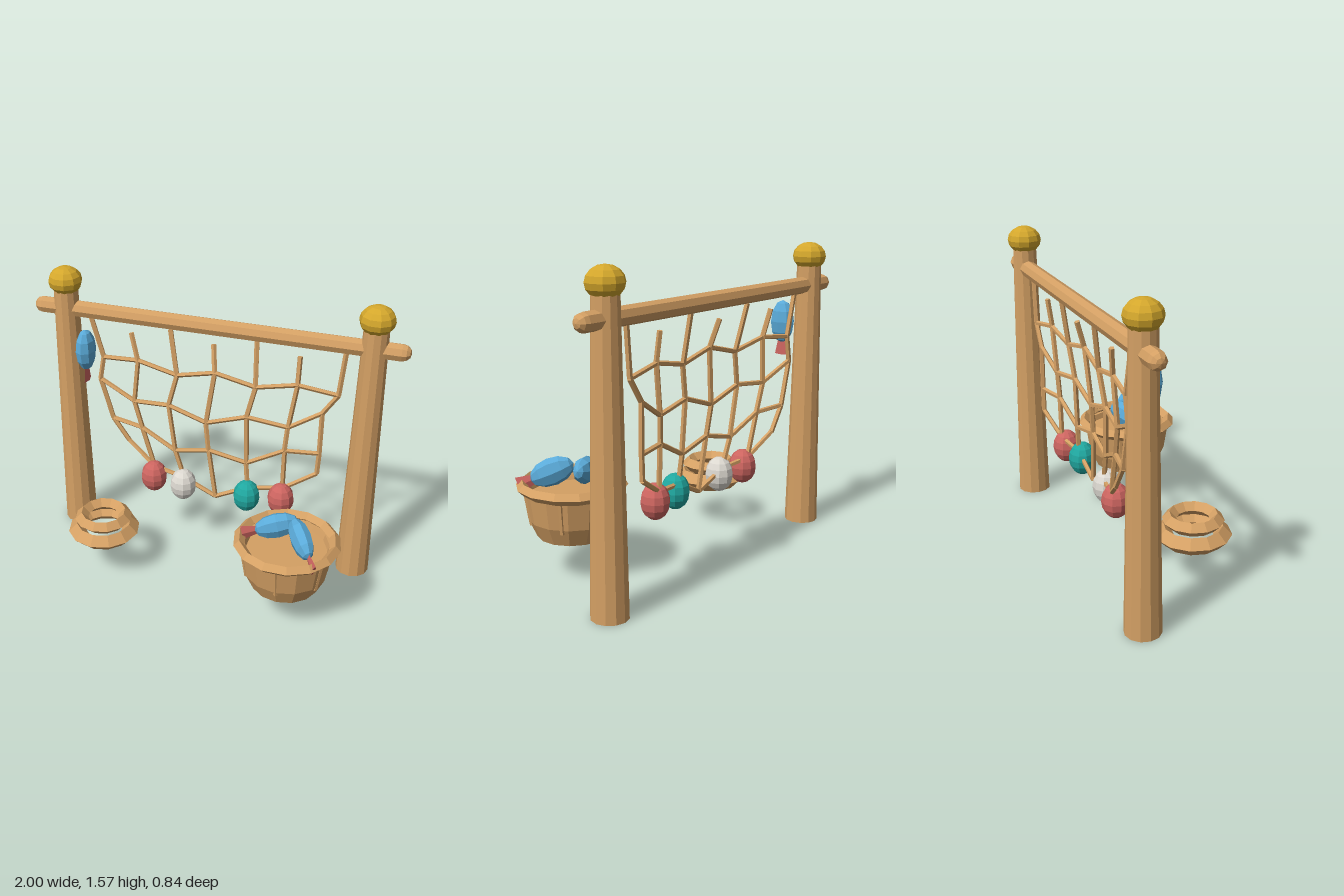
import * as THREE from 'three';

const mat = (name, color) => {
  const m = new THREE.MeshStandardMaterial({ color, flatShading: true });
  m.name = name;
  return m;
};

export function createModel() {
  const wood = mat('wood', 0xd4a064);
  const gold = mat('gold', 0xd4a72c);
  const blue = mat('fish blue', 0x5aaad8);
  const red = mat('coral red', 0xcd6560);
  const white = mat('bead white', 0xdcd8d0);
  const teal = mat('teal', 0x20a8a0);
  const root = new THREE.Group();
  root.name = 'fishingNetRack';

  const add = (parent, name, geometry, material, x = 0, y = 0, z = 0) => {
    const m = new THREE.Mesh(geometry, material);
    m.name = name;
    m.position.set(x, y, z);
    parent.add(m);
    return m;
  };
  const group = (name, x, y, z) => {
    const g = new THREE.Group();
    g.name = name;
    g.position.set(x, y, z);
    root.add(g);
    return g;
  };
  const up = new THREE.Vector3(0, 1, 0);
  // Round rod between two points
  const rod = (parent, name, a, b, r0, r1 = r0, sides = 5) => {
    const d = b.clone().sub(a);
    const m = add(parent, name, new THREE.CylinderGeometry(r1, r0, d.length(), sides), wood);
    m.position.copy(a).addScaledVector(d, 0.5);
    m.quaternion.setFromUnitVectors(up, d.normalize());
  };

  // Posts with gold finials, and the cross bar
  for (const s of [-1, 1]) {
    const side = s > 0 ? 'left' : 'right';
    add(root, side + 'Post', new THREE.CylinderGeometry(0.064, 0.09, 1.46, 12), wood, s * 0.82, 0.73, -0.34);
    add(root, side + 'Finial', new THREE.SphereGeometry(0.09, 10, 8), gold, s * 0.82, 1.492, -0.34)
      .scale.y = 0.84;
  }
  add(root, 'crossBar', new THREE.CapsuleGeometry(0.045, 1.91, 3, 8), wood, 0, 1.34, -0.34)
    .rotation.z = Math.PI / 2;

  // Net knots as [x, y], row by row; the net bellies forward
  const rows = [
    [[-0.68, 1.3], [-0.455, 1.245], [-0.235, 1.295], [0, 1.245], [0.23, 1.3], [0.455, 1.245], [0.685, 1.3]],
    [[-0.62, 1.08], [-0.415, 1.1], [-0.19, 1.055], [0.02, 1.105], [0.24, 1.055], [0.455, 1.095], [0.665, 1.06]],
    [[-0.645, 0.945], [-0.44, 0.855], [-0.235, 0.875], [-0.02, 0.81], [0.2, 0.88], [0.42, 0.845], [0.59, 0.945]],
    [[-0.58, 0.71], [-0.395, 0.7], [-0.195, 0.605], [0, 0.65], [0.21, 0.605], [0.41, 0.705], [0.59, 0.7]],
    [[-0.49, 0.58], [-0.325, 0.465], [-0.14, 0.445], [0.045, 0.368], [0.225, 0.455], [0.41, 0.47], [0.585, 0.575]],
  ];
  const knots = rows.map((row, j) => row.map(([x, y], i) =>
    new THREE.Vector3(x, y, -0.335 + 0.085 * Math.sin(Math.PI * i / 6) * Math.sqrt(j / 4))));
  const net = group('net', 0, 0, 0);
  for (let j = 0; j < 5; j++) {
    for (let i = 0; i < 7; i++) {
      if (j < 4) rod(net, 'netVertical', knots[j][i], knots[j + 1][i], 0.014);
      if (j > 0 && i < 6) rod(net, 'netCross', knots[j][i], knots[j][i + 1], 0.013);
    }
  }

  // Floats on the lower edge
  for (const [x, y, z, m] of [[-0.32, 0.418, -0.268, red], [-0.14, 0.413, -0.245, white],
    [0.225, 0.415, -0.243, teal], [0.41, 0.418, -0.268, red]]) {
    add(root, 'netFloat', new THREE.SphereGeometry(0.073, 10, 8), m, x, y, z).scale.y = 1.25;
  }

  // Coiled rope: two stacked rings
  const coil = group('ropeCoil', -0.49, 0, 0.07);
  for (const [R, r, y] of [[0.147, 0.046, 0.255], [0.118, 0.036, 0.33]]) {
    add(coil, 'coilRing', new THREE.TorusGeometry(R, r, 4, 12), wood, 0, y, 0).rotation.x = Math.PI / 2;
  }

  // Basket with rim and six staves
  const basket = group('basket', 0.545, 0, 0.145);
  const profile = [[0, 0.2], [0.176, 0.2], [0.217, 0.29], [0.24, 0.44], [0.215, 0.44], [0.205, 0.41], [0, 0.41]]
    .map(p => new THREE.Vector2(...p));
  add(basket, 'bowl', new THREE.LatheGeometry(profile, 14), wood);
  add(basket, 'rim', new THREE.TorusGeometry(0.245, 0.029, 4, 14), wood, 0, 0.454, 0).rotation.x = Math.PI / 2;
  for (let k = 0; k < 6; k++) {
    const a = k * Math.PI / 3;
    const at = (r, y) => new THREE.Vector3(r * Math.sin(a), y, r * Math.cos(a));
    rod(basket, 'stave', at(0.204, 0.27), at(0.231, 0.43), 0.012);
  }

  // Fish: body along local y, tail at -y, flattened across x
  const fish = (name, x, y, z, tailDir) => {
    const g = group(name, x, y, z);
    add(g, 'fishBody', new THREE.SphereGeometry(1, 8, 6), blue).scale.set(0.053, 0.115, 0.07);
    add(g, 'fishTail', new THREE.CylinderGeometry(0.024, 0.042, 0.08, 4), red, 0, -0.14, 0).scale.x = 0.28;
    if (tailDir) {
      const Y = tailDir.clone().normalize().negate();
      const Z = up.clone().addScaledVector(Y, -Y.y).normalize();
      const X = Y.clone().cross(Z);
      g.quaternion.setFromRotationMatrix(new THREE.Matrix4().makeBasis(X, Y, Z));
    }
  };
  fish('hangingFish', -0.69, 1.145, -0.262);
  fish('basketFishA', 0.48, 0.515, 0.113, new THREE.Vector3(-0.15, -0.035, 0.06));
  fish('basketFishB', 0.625, 0.525, 0.2, new THREE.Vector3(0.095, -0.07, 0.13));

  return root;
}
